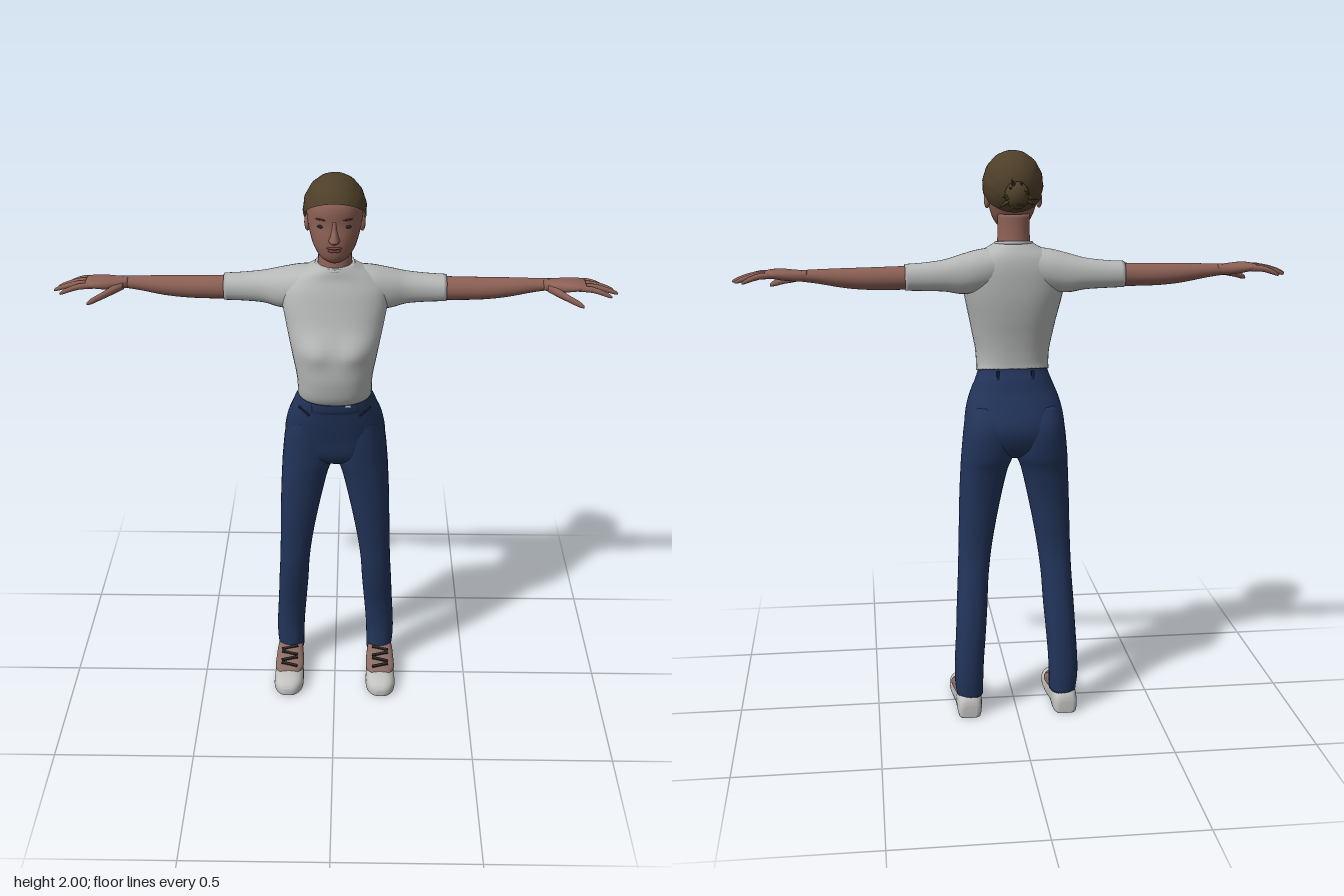
import * as THREE from 'three';

const mat = (name, color) => {
  const m = new THREE.MeshStandardMaterial({ color, side: THREE.DoubleSide });
  m.name = name;
  return m;
};

// Smooth curve through the values of four neighbouring rows
const spline = (a, b, c, d, t) =>
  b + 0.5 * t * (c - a + t * (2 * a - 5 * b + 4 * c - d + t * (3 * (b - c) + d - a)));

// Closed loft. Row = [position on axis, aMin, aMax, bMin, bMax];
// (a, b) is (x, z) for axis y, (y, z) for axis x and (x, y) for axis z.
function loft(rows, axis, { n = 28, steps = 4, p = 2, s = 1, rule } = {}) {
  const fine = [];
  const at = i => rows[Math.max(0, Math.min(rows.length - 1, i))];
  for (let i = 0; i < rows.length - 1; i++)
    for (let k = 0; k < steps; k++)
      fine.push(rows[0].map((_, j) => spline(at(i - 1)[j], at(i)[j], at(i + 1)[j], at(i + 2)[j], k / steps)));
  fine.push(at(rows.length));

  const pos = [], idx = [];
  const put = (t, a, b) => {
    const v = axis === 'y' ? new THREE.Vector3(a, t, b)
      : axis === 'x' ? new THREE.Vector3(t, a, b) : new THREE.Vector3(a, b, t);
    if (rule) rule(v);
    pos.push(v.x * s, v.y, v.z);
  };
  const bend = c => Math.sign(c) * Math.abs(c) ** (2 / p);
  for (const [t, a0, a1, b0, b1] of fine)
    for (let i = 0; i < n; i++) {
      const u = i / n * Math.PI * 2;
      put(t, (a0 + a1) / 2 + (a1 - a0) / 2 * bend(Math.cos(u)), (b0 + b1) / 2 + (b1 - b0) / 2 * bend(Math.sin(u)));
    }
  for (const [t, a0, a1, b0, b1] of [fine[0], fine.at(-1)]) put(t, (a0 + a1) / 2, (b0 + b1) / 2);
  const last = (fine.length - 1) * n, c = last + n;
  for (let i = 0; i < n; i++) {
    const j = (i + 1) % n;
    for (let r = 0; r < last; r += n) idx.push(r + i, r + n + i, r + j, r + j, r + n + i, r + n + j);
    idx.push(c, i, j, c + 1, last + j, last + i);
  }
  // Turn the faces outward whatever the axis or mirroring
  const P = i => new THREE.Vector3().fromArray(pos, i * 3);
  const origin = P(c);
  let volume = 0;
  for (let i = 0; i < idx.length; i += 3) {
    const [u, v, w] = [0, 1, 2].map(k => P(idx[i + k]).sub(origin));
    volume += u.dot(v.cross(w));
  }
  if (volume < 0) idx.reverse();
  const g = new THREE.BufferGeometry();
  g.setAttribute('position', new THREE.Float32BufferAttribute(pos, 3));
  g.setIndex(idx);
  g.computeVertexNormals();
  return g;
}

const sym = rows => rows.map(([t, h, b0, b1]) => [t, -h, h, b0, b1]);

export function createModel() {
  const model = new THREE.Group();
  const skin = mat('skin', 0x8c6055), shirt = mat('shirt', 0xb6b8b7), denim = mat('denim', 0x22345a);
  const hair = mat('hair', 0x4e3f29), white = mat('shoe white', 0xc2c2c0), dark = mat('dark trim', 0x2b2524);
  const lip = mat('lips', 0x74423f), panel = mat('shoe panel', 0x8a6c64), seam = mat('dark denim', 0x18233d);
  const add = (name, g, m, x = 0, y = 0, z = 0) => {
    const o = new THREE.Mesh(g, m);
    o.name = name;
    o.position.set(x, y, z);
    model.add(o);
    return o;
  };
  const blob = (name, m, x, y, z, rx, ry, rz) => add(name, new THREE.SphereGeometry(1, 16, 10).scale(rx, ry, rz), m, x, y, z);

  // Head, neck and nose
  add('head', loft(sym([
    [1.728, 0.022, 0.045, 0.1], [1.745, 0.048, 0, 0.122], [1.775, 0.068, -0.035, 0.131], [1.815, 0.081, -0.06, 0.133],
    [1.86, 0.09, -0.072, 0.127], [1.91, 0.09, -0.075, 0.128], [1.95, 0.072, -0.06, 0.108], [1.98, 0.035, -0.02, 0.06],
  ]), 'y', { n: 36, p: 2.1 }), skin);
  add('neck', loft(sym([[1.63, 0.07, -0.085, 0.05], [1.68, 0.059, -0.07, 0.052], [1.73, 0.055, -0.06, 0.045], [1.79, 0.055, -0.055, 0.04]]), 'y'), skin);
  add('nose', loft(sym([[1.803, 0.009, 0.11, 0.138], [1.814, 0.018, 0.1, 0.16], [1.828, 0.014, 0.1, 0.155], [1.852, 0.009, 0.1, 0.137], [1.875, 0.009, 0.1, 0.129]]), 'y', { n: 12 }), skin);
  blob('upperLip', lip, 0, 1.79, 0.131, 0.025, 0.005, 0.009);
  blob('lowerLip', lip, 0, 1.781, 0.13, 0.021, 0.006, 0.009);

  // Hair cap tilted back so its rim runs from the forehead to the nape
  const cap = new THREE.SphereGeometry(1, 48, 20, 0, Math.PI * 2, 0, 1.78).rotateX(-0.65);
  const q = cap.attributes.position;
  for (let i = 0; i < q.count; i++) {
    const lock = 1 + 0.012 * Math.sin(Math.atan2(q.getX(i), q.getY(i) + 0.6) * 22) * Math.abs(q.getX(i));
    q.setXYZ(i, q.getX(i) * 0.103 * lock, q.getY(i) * 0.115 * lock, q.getZ(i) * 0.12 * lock);
  }
  cap.computeVertexNormals();
  add('hairCap', cap, hair, 0, 1.885, 0.018);

  // Messy tied hair with loose tufts
  blob('hairKnot', hair, 0, 1.858, -0.108, 0.042, 0.046, 0.036);
  for (let i = 0; i < 16; i++) {
    const a = i * 2.4, out = 0.045 + 0.02 * Math.sin(i * 5.3);
    const tip = new THREE.Vector3(Math.cos(a) * out * 1.2, 1.855 + Math.sin(a) * out, -0.14 - 0.018 * Math.sin(i * 3.1));
    const root = new THREE.Vector3(Math.cos(a) * 0.018, 1.858 + Math.sin(a) * 0.018, -0.105);
    const tuft = add('hairTuft', new THREE.ConeGeometry(0.014, root.distanceTo(tip), 5), hair);
    tuft.position.lerpVectors(root, tip, 0.5);
    tuft.quaternion.setFromUnitVectors(new THREE.Vector3(0, 1, 0), tip.clone().sub(root).normalize());
  }

  // Shirt body, with a soft bust and a hem that dips at the front
  add('shirtBody', loft(sym([
    [1.243, 0.128, -0.068, 0.126], [1.27, 0.127, -0.068, 0.146], [1.32, 0.131, -0.071, 0.158], [1.38, 0.143, -0.08, 0.156],
    [1.43, 0.153, -0.09, 0.147], [1.5, 0.168, -0.101, 0.118], [1.56, 0.178, -0.105, 0.098], [1.61, 0.172, -0.105, 0.083],
    [1.65, 0.138, -0.098, 0.068], [1.678, 0.088, -0.084, 0.063], [1.693, 0.063, -0.074, 0.058],
  ]), 'y', { n: 40, p: 2.35, rule: v => {
    if (v.z > 0) v.z += 0.016 * Math.exp(-(((Math.abs(v.x) - 0.065) / 0.05) ** 2) - ((v.y - 1.425) / 0.045) ** 2);
    if (v.y < 1.3) v.y += (0.03 - v.z) * 0.2 * Math.min(1, (1.3 - v.y) / 0.05);
  } }), shirt);
  const collar = add('collar', new THREE.TorusGeometry(1, 0.09, 8, 32).rotateX(Math.PI / 2).scale(0.062, 0.07, 0.066), shirt, 0, 1.69, -0.008);
  collar.rotation.x = 0.12;

  // Jeans
  add('jeansHips', loft(sym([
    [0.945, 0.08, -0.07, 0.03], [0.965, 0.135, -0.105, 0.055], [1, 0.172, -0.128, 0.074], [1.06, 0.177, -0.14, 0.085], [1.13, 0.166, -0.116, 0.1],
    [1.19, 0.144, -0.088, 0.11], [1.24, 0.125, -0.066, 0.117], [1.268, 0.122, -0.062, 0.11],
  ]), 'y', { n: 36, p: 2.3, rule: v => { if (v.y > 1.2) v.y -= v.z * 0.18; } }), denim);
  add('buckle', new THREE.BoxGeometry(0.03, 0.012, 0.008), white, 0.04, 1.218, 0.11);
  for (const x of [-0.075, 0.075]) add('beltLoop', new THREE.BoxGeometry(0.01, 0.045, 0.009), seam, x, 1.213, 0.098);
  for (const x of [-0.06, 0.06]) add('backBeltLoop', new THREE.BoxGeometry(0.01, 0.04, 0.009), seam, x, 1.235, -0.066);

  for (const s of [1, -1]) {
    // Face details
    blob('eye', dark, s * 0.039, 1.857, 0.113, 0.016, 0.006, 0.007);
    const brow = blob('eyebrow', hair, s * 0.04, 1.881, 0.115, 0.021, 0.0035, 0.006);
    brow.rotation.y = s * 0.35;
    blob('ear', skin, s * 0.089, 1.835, 0.008, 0.011, 0.028, 0.018);

    // Sleeve, arm and hand
    add('sleeve', loft([
      [0.05, 1.55, 1.678, -0.095, 0.055], [0.12, 1.53, 1.672, -0.104, 0.05], [0.18, 1.523, 1.658, -0.106, 0.03],
      [0.24, 1.534, 1.642, -0.105, 0.005], [0.31, 1.538, 1.633, -0.103, -0.006], [0.375, 1.54, 1.629, -0.101, -0.008],
    ], 'x', { s, p: 2.2 }), shirt);
    add('arm', loft([
      [0.3, 1.545, 1.624, -0.096, -0.014], [0.4, 1.543, 1.622, -0.095, -0.014], [0.5, 1.545, 1.62, -0.095, -0.018],
      [0.58, 1.553, 1.619, -0.092, -0.024], [0.66, 1.568, 1.617, -0.086, -0.034], [0.72, 1.577, 1.615, -0.085, -0.038],
    ], 'x', { s }), skin);
    add('palm', loft([
      [0.7, 1.577, 1.615, -0.084, -0.038], [0.735, 1.577, 1.615, -0.088, -0.022], [0.775, 1.58, 1.618, -0.091, -0.006],
      [0.815, 1.587, 1.617, -0.092, 0], [0.84, 1.592, 1.612, -0.087, -0.006],
    ], 'x', { s, p: 2.4 }), skin);
    // Four fingers fanned out: root z, tip z, tip x
    for (const [z0, z1, tip] of [[-0.08, -0.085, 0.915], [-0.058, -0.06, 0.94], [-0.035, -0.029, 0.95], [-0.013, 0.004, 0.925]])
      add('finger', loft([[0, 1.6, 0.011], [0.4, 1.599, 0.0105], [0.75, 1.588, 0.009], [0.95, 1.579, 0.006], [1, 1.577, 0.002]].map(([t, y, r]) => {
        const z = z0 + (z1 - z0) * t;
        return [0.815 + (tip - 0.815) * t, y - r, y + r, z - r, z + r];
      }), 'x', { s, n: 10, steps: 2 }), skin);
    add('thumb', loft([
      [0.715, 1.578, 1.605, -0.055, -0.025], [0.75, 1.568, 1.597, -0.032, 0.003], [0.785, 1.559, 1.583, 0, 0.024],
      [0.815, 1.55, 1.57, 0.018, 0.037], [0.83, 1.549, 1.558, 0.03, 0.039],
    ], 'x', { s, n: 12 }), skin);

    // Trouser leg
    add('trouserLeg', loft([
      [0.072, 0.122, 0.218, -0.15, -0.022], [0.13, 0.121, 0.224, -0.153, -0.026], [0.2, 0.118, 0.223, -0.15, -0.028], [0.3, 0.11, 0.217, -0.142, -0.018],
      [0.4, 0.102, 0.212, -0.127, 0.004], [0.5, 0.096, 0.206, -0.109, 0.022], [0.6, 0.084, 0.202, -0.093, 0.032], [0.7, 0.067, 0.199, -0.093, 0.044],
      [0.8, 0.047, 0.196, -0.098, 0.054], [0.9, 0.024, 0.191, -0.113, 0.064], [0.96, 0.003, 0.187, -0.13, 0.07], [1.06, 0.004, 0.176, -0.134, 0.078],
      [1.13, 0.02, 0.155, -0.1, 0.08],
    ], 'y', { s, p: 2.25 }), denim);
    const pocket = add('frontPocket', new THREE.BoxGeometry(0.05, 0.005, 0.006), seam, s * 0.105, 1.185, 0.088);
    pocket.rotation.set(0, s * 0.55, s * 0.5);

    // Shoe with coloured upper and dark laces
    const ground = v => { v.y = Math.max(0, v.y); };
    add('shoe', loft([
      [-0.16, 0.15, 0.2, 0, 0.045], [-0.15, 0.135, 0.214, -0.02, 0.075], [-0.11, 0.128, 0.219, -0.025, 0.1], [-0.05, 0.127, 0.22, -0.025, 0.108],
      [0.01, 0.122, 0.225, -0.025, 0.086], [0.07, 0.119, 0.23, -0.025, 0.066], [0.115, 0.122, 0.228, -0.02, 0.061], [0.145, 0.14, 0.212, -0.01, 0.047], [0.157, 0.16, 0.19, 0.005, 0.03],
    ], 'z', { s, p: 2.5, rule: ground }), white);
    add('shoeUpper', loft([
      [-0.085, 0.131, 0.217, 0.04, 0.107], [-0.05, 0.125, 0.222, 0.036, 0.112], [0.01, 0.12, 0.227, 0.032, 0.09], [0.05, 0.122, 0.227, 0.034, 0.075], [0.085, 0.14, 0.21, 0.04, 0.065],
    ], 'z', { s, p: 2.5 }), panel);
    for (let i = 0; i < 4; i++) {
      const lace = add('lace', new THREE.BoxGeometry(0.062, 0.008, 0.01), dark, s * 0.174, 0.1 - i * 0.0085, -0.015 + i * 0.024);
      lace.rotation.set(0.33, (i % 2 ? 0.25 : -0.25) * s, 0);
    }
  }
  return model;
}
